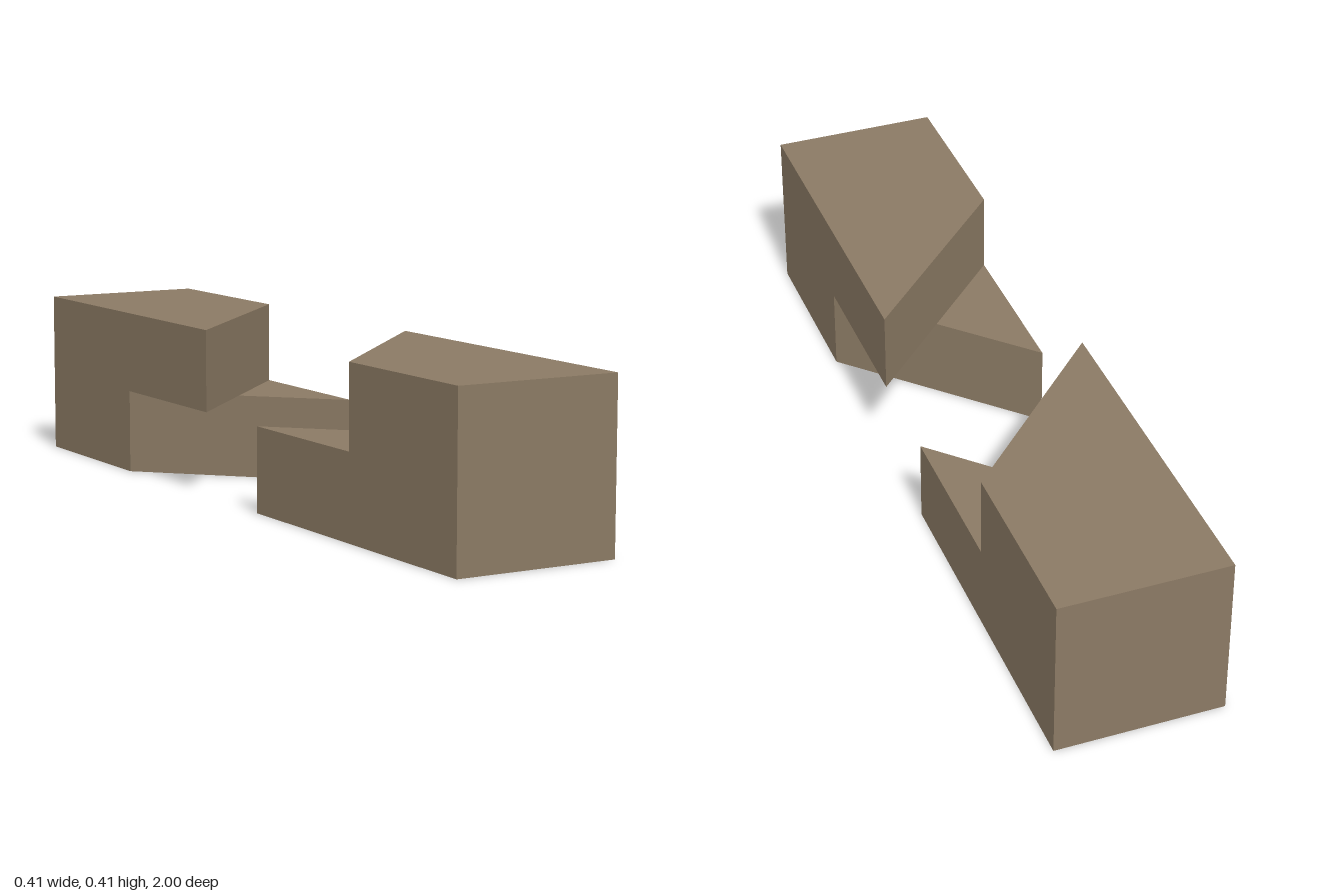
import * as THREE from 'three';

const W = 0.207, BOTTOM = 0.003, MID = 0.213, TOP = 0.416;

// One beam end: the upper and lower halves are mitred in opposite directions.
function beamGeometry(tip, root, end) {
  const pos = [];
  const face = (...c) => { // convex polygon as a triangle fan
    for (let i = 1; i < c.length - 1; i++) pos.push(...c[0], ...c[i], ...c[i + 1]);
  };
  const flat = (y, ...pts) => face(...pts.map(([x, z]) => [x, y, z]));
  const wall = (p, q, y0, y1) =>
    face([p[0], y0, p[1]], [q[0], y0, q[1]], [q[0], y1, q[1]], [p[0], y1, p[1]]);

  // plan corners
  const endR = [W, end], endL = [-W, end];
  const rootR = [W, root], rootL = [-W, root];
  const tipR = [W, tip], tipL = [-W, tip];
  const cross = [0, (tip + root) / 2];

  // top, bottom and the two exposed shelves
  flat(TOP, endR, tipR, rootL, endL);
  flat(BOTTOM, endL, tipL, rootR, endR);
  flat(MID, rootL, cross, tipL);
  flat(MID, rootR, cross, tipR);

  // square end and full-height sides
  wall(endL, endR, BOTTOM, TOP);
  wall(endR, rootR, BOTTOM, TOP);
  wall(rootL, endL, BOTTOM, TOP);

  // upper tongue
  wall(rootR, tipR, MID, TOP);
  wall(tipR, rootL, MID, TOP);

  // lower tongue
  wall(rootR, tipL, BOTTOM, MID);
  wall(tipL, rootL, BOTTOM, MID);

  const g = new THREE.BufferGeometry();
  g.setAttribute('position', new THREE.Float32BufferAttribute(pos, 3));
  g.computeVertexNormals();
  return g;
}

export function createModel() {
  const group = new THREE.Group();
  group.name = 'mitredBeamJoint';
  const wood = new THREE.MeshStandardMaterial({ color: 0x8b7a64 });
  wood.name = 'brown wood';

  const front = new THREE.Mesh(beamGeometry(0.135, 0.558, 1), wood);
  front.name = 'frontBeam';

  // the back beam is the same joint turned half way round
  const back = new THREE.Mesh(beamGeometry(0.12, 0.542, 1), wood);
  back.name = 'backBeam';
  back.rotation.y = Math.PI;

  group.add(front, back);
  return group;
}
